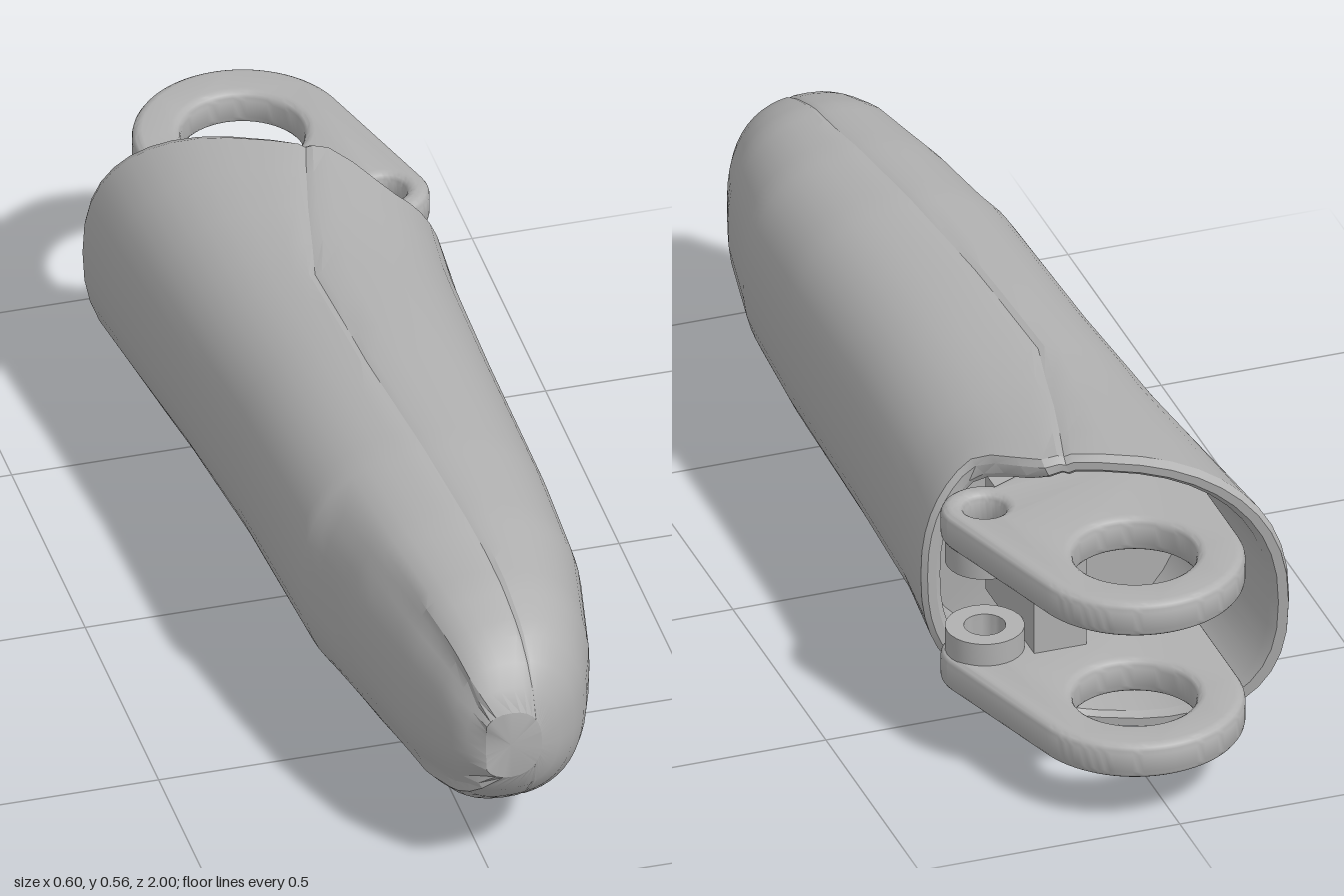
import * as THREE from 'three';
import { toCreasedNormals } from 'three/addons/utils/BufferGeometryUtils.js';

// body stations: z, xMin, xMax, yMin, yMax
const STATIONS = [
  [-0.6, -0.3, 0.305, 0.003, 0.57],
  [-0.3, -0.25, 0.29, 0.035, 0.56],
  [0, -0.222, 0.28, 0.045, 0.567],
  [0.38, -0.205, 0.275, 0.06, 0.568],
  [0.6, -0.18, 0.265, 0.08, 0.557],
  [0.8, -0.14, 0.225, 0.1, 0.535],
  [0.9, -0.108, 0.19, 0.135, 0.503],
  [0.95, -0.09, 0.155, 0.175, 0.465],
  [0.98, -0.07, 0.12, 0.21, 0.43],
  [1, -0.035, 0.08, 0.25, 0.39],
];
// seam between the two shells: z, x
const SEAM = [[-0.6, 0.08], [-0.4, 0.03], [-0.2, -0.015], [0.1, 0], [0.7, 0.055], [1, 0.07]];
const POWER = 2.4;

function sample(table, z) {
  let i = 0;
  while (i < table.length - 2 && z > table[i + 1][0]) i++;
  const t = THREE.MathUtils.clamp((z - table[i][0]) / (table[i + 1][0] - table[i][0]), 0, 1);
  return table[i].slice(1).map((v, k) => v + (table[i + 1][k + 1] - v) * t);
}

// slanted rear opening, stepped back around the hinge
function rearEdge(x) {
  if (x < 0.08) return -0.6 + (x - 0.08) * 0.47;
  return -0.6 + 0.13 * THREE.MathUtils.smoothstep(x, 0.1, 0.22);
}

// rings from the socket floor, out over the rim, then forward to the tip: z, scale
const rings = [[-0.35, 0], [-0.35, 0.88], [-0.59, 0.88], [-0.6, 0.91], [-0.6, 0.965], [-0.585, 1]];
for (let z = -0.5; z < 0.3; z += 0.1) rings.push([z, 1]);
for (let z = 0.34; z < 0.93; z += 0.03) rings.push([z, 1]);
rings.push([0.95, 1], [0.98, 1], [1, 1], [1, 0]);

function bodyPoint(z, scale, u, leftSide) {
  const [x0, x1, y0, y1] = sample(STATIONS, z);
  const cx = (x0 + x1) / 2, cy = (y0 + y1) / 2, hx = (x1 - x0) / 2, hy = (y1 - y0) / 2;
  const q = THREE.MathUtils.clamp((sample(SEAM, z)[0] - cx) / hx, -0.9, 0.9);
  const seam = Math.acos(Math.sign(q) * Math.abs(q) ** (POWER / 2));
  const a = leftSide ? seam + u * (2 * Math.PI - 2 * seam) : -seam + u * 2 * seam;
  const bend = (v) => Math.sign(v) * Math.abs(v) ** (2 / POWER);
  // the shell edges dip into a fine groove
  const s = scale * (u === 0 || u === 1 ? 0.982 : 1);
  let x = cx + hx * s * bend(Math.cos(a));
  const y = cy + hy * s * bend(Math.sin(a));
  if (z < -0.3) z = -0.3 + ((-0.3 - z) / 0.3) * (rearEdge(x) + 0.3);
  // shallow oval pad recess near the tip
  const e = ((x + 0.115) / 0.095) ** 2 + ((y - 0.32) / 0.2) ** 2;
  if (z > 0.4 && e < 1) {
    const push = Math.min(1, (1 - e) * 2.5);
    x += 0.018 * push;
    z -= 0.012 * push;
  }
  return [x, y, z];
}

function shellGeometry(leftSide) {
  const cols = [0, 0.012];
  for (let i = 1; i < 22; i++) cols.push(i / 22);
  cols.push(0.988, 1);
  const n = cols.length, pos = [], idx = [];
  rings.forEach(([z, s], r) => {
    cols.forEach((u, c) => {
      pos.push(...bodyPoint(z, s, u, leftSide));
      if (r && c) {
        const d = r * n + c, a = d - n - 1;
        idx.push(a, a + 1, d, a, d, d - 1);
      }
    });
  });
  const g = new THREE.BufferGeometry();
  g.setAttribute('position', new THREE.Float32BufferAttribute(pos, 3));
  g.setIndex(idx);
  return toCreasedNormals(g, 0.45);
}

// flat plate with a large eye and a small pin hole; shape y runs toward the rear
function lugGeometry(thickness) {
  const s = new THREE.Shape();
  s.moveTo(-0.185, 0.45);
  s.lineTo(-0.185, 0.8);
  s.absarc(0.015, 0.8, 0.2, Math.PI, 0.295, true);
  s.absarc(0.215, 0.555, 0.08, 0.295, -2.1, true);
  s.lineTo(0.1, 0.45);
  s.closePath();
  for (const [x, y, r] of [[0.015, 0.8, 0.112], [0.215, 0.555, 0.038]]) {
    const hole = new THREE.Path();
    hole.absarc(x, y, r, 0, Math.PI * 2, false);
    s.holes.push(hole);
  }
  const b = 0.018;
  const g = new THREE.ExtrudeGeometry(s, {
    depth: thickness - 2 * b, bevelEnabled: true, bevelSize: b, bevelThickness: b,
    bevelOffset: -b, bevelSegments: 4, curveSegments: 28,
  });
  g.rotateX(-Math.PI / 2);
  g.translate(0, b, 0);
  return toCreasedNormals(g, 0.6);
}

// hollow sleeve around the pin hole
function knuckleGeometry(height) {
  const h = height / 2;
  const pts = [[0.038, -h], [0.072, -h], [0.072, h], [0.038, h], [0.038, -h]];
  const g = new THREE.LatheGeometry(pts.map(([x, y]) => new THREE.Vector2(x, y)), 28);
  return toCreasedNormals(g, 0.6);
}

export function createModel() {
  const model = new THREE.Group();
  model.name = 'fingerSegment';
  const grey = new THREE.MeshStandardMaterial({ color: 0xb0b0b0 });
  grey.name = 'grey';
  const add = (name, geometry, x = 0, y = 0, z = 0) => {
    const m = new THREE.Mesh(geometry, grey);
    m.name = name;
    m.position.set(x, y, z);
    model.add(m);
  };

  // two shells split along the seam
  add('padShell', shellGeometry(true));
  add('backShell', shellGeometry(false));

  // pair of hinge lugs with thickened knuckles
  const lug = lugGeometry(0.07);
  add('upperLug', lug, 0, 0.4, 0);
  add('lowerLug', lug, 0, 0.105, 0);
  const knuckle = knuckleGeometry(0.05);
  add('upperKnuckle', knuckle, 0.215, 0.38, -0.555);
  add('lowerKnuckle', knuckle, 0.215, 0.195, -0.555);

  // web tying the lugs together inside the socket
  add('hingeWeb', new THREE.BoxGeometry(0.1, 0.24, 0.26), 0.09, 0.2875, -0.48);
  return model;
}
